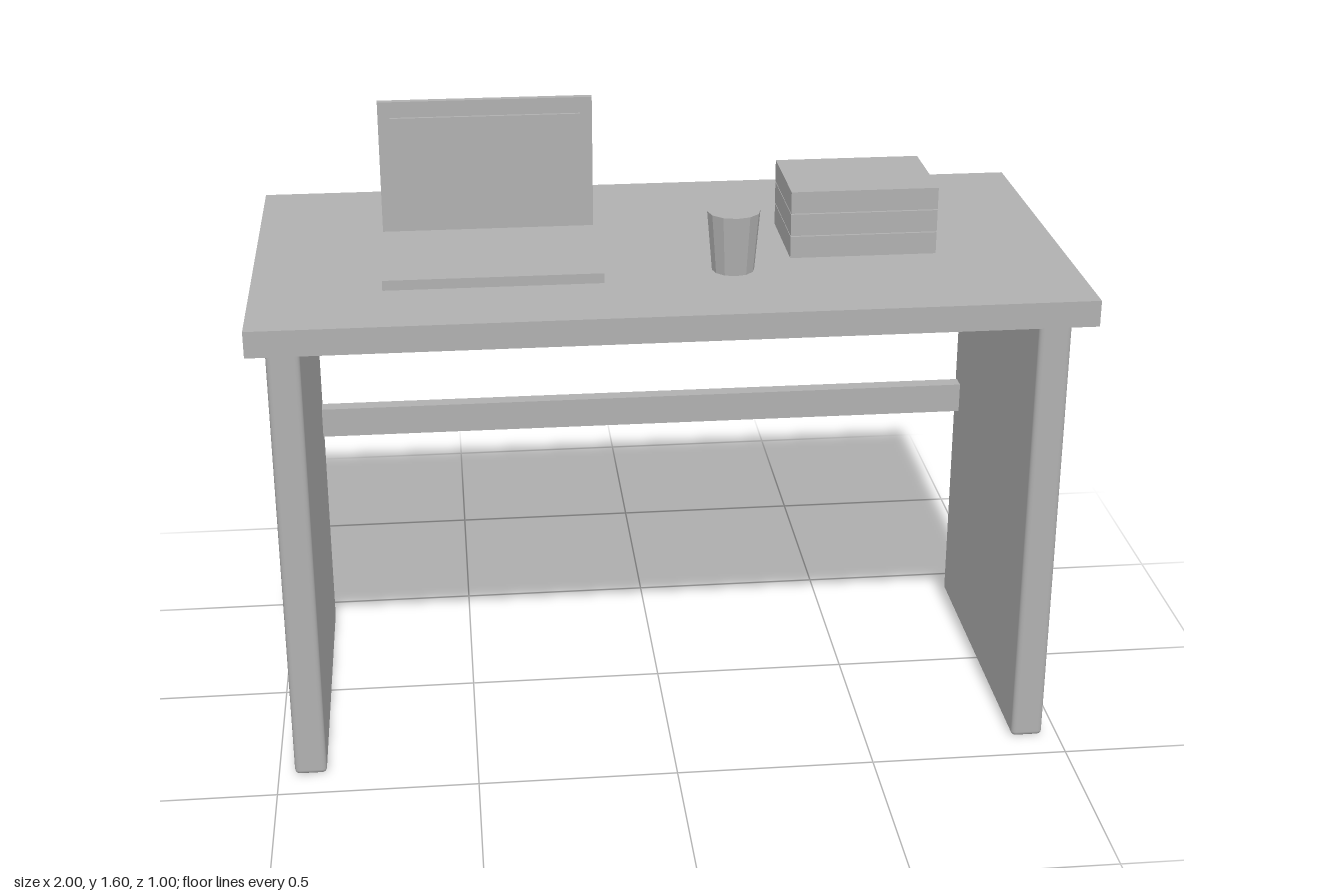
import * as THREE from 'three';
import { RoundedBoxGeometry } from 'three/addons/geometries/RoundedBoxGeometry.js';

export function createModel() {
  const model = new THREE.Group();
  model.name = 'desk';
  const grey = new THREE.MeshStandardMaterial({ color: 0xb0b0b0 });
  grey.name = 'grey';

  const add = (name, geometry, x, y, z, parent = model) => {
    const mesh = new THREE.Mesh(geometry, grey);
    mesh.name = name;
    mesh.position.set(x, y, z);
    parent.add(mesh);
    return mesh;
  };
  // Box given by its centre in x and z and its underside in y
  const box = (name, [w, h, d], [x, y, z], parent) =>
    add(name, new THREE.BoxGeometry(w, h, d), x, y + h / 2, z, parent);
  const group = (name) => {
    const g = new THREE.Group();
    g.name = name;
    model.add(g);
    return g;
  };

  // Desk: top, two slab legs with eased edges, and a rear stretcher
  const deskY = 1.235;
  box('tabletop', [2, 0.065, 1], [0, 1.17, 0]);
  for (const [side, s] of [['left', 1], ['right', -1]]) {
    add(side + 'SidePanel', new RoundedBoxGeometry(0.08, 1.17, 0.83, 2, 0.012), s * 0.92, 0.585, 0);
  }
  box('stretcher', [1.77, 0.08, 0.04], [0, 0.59, -0.37]);

  // Open laptop
  const laptop = group('laptop');
  box('laptopBase', [0.53, 0.025, 0.36], [-0.42, deskY, 0.083], laptop);
  box('laptopLid', [0.53, 0.36, 0.018], [-0.42, deskY, -0.104], laptop);
  box('laptopScreen', [0.47, 0.28, 0.008], [-0.42, deskY + 0.04, -0.091], laptop);

  // Faceted, tapered cup
  const cup = new THREE.CylinderGeometry(0.065, 0.052, 0.15, 12).toNonIndexed();
  cup.computeVertexNormals();
  add('cup', cup, 0.165, deskY + 0.075, 0.195);

  // Stack of three books
  const books = group('books');
  for (let i = 0; i < 3; i++) {
    box('book' + (i + 1), [0.365, 0.055, 0.265], [0.498, deskY + i * 0.0575, 0], books);
  }
  return model;
}
